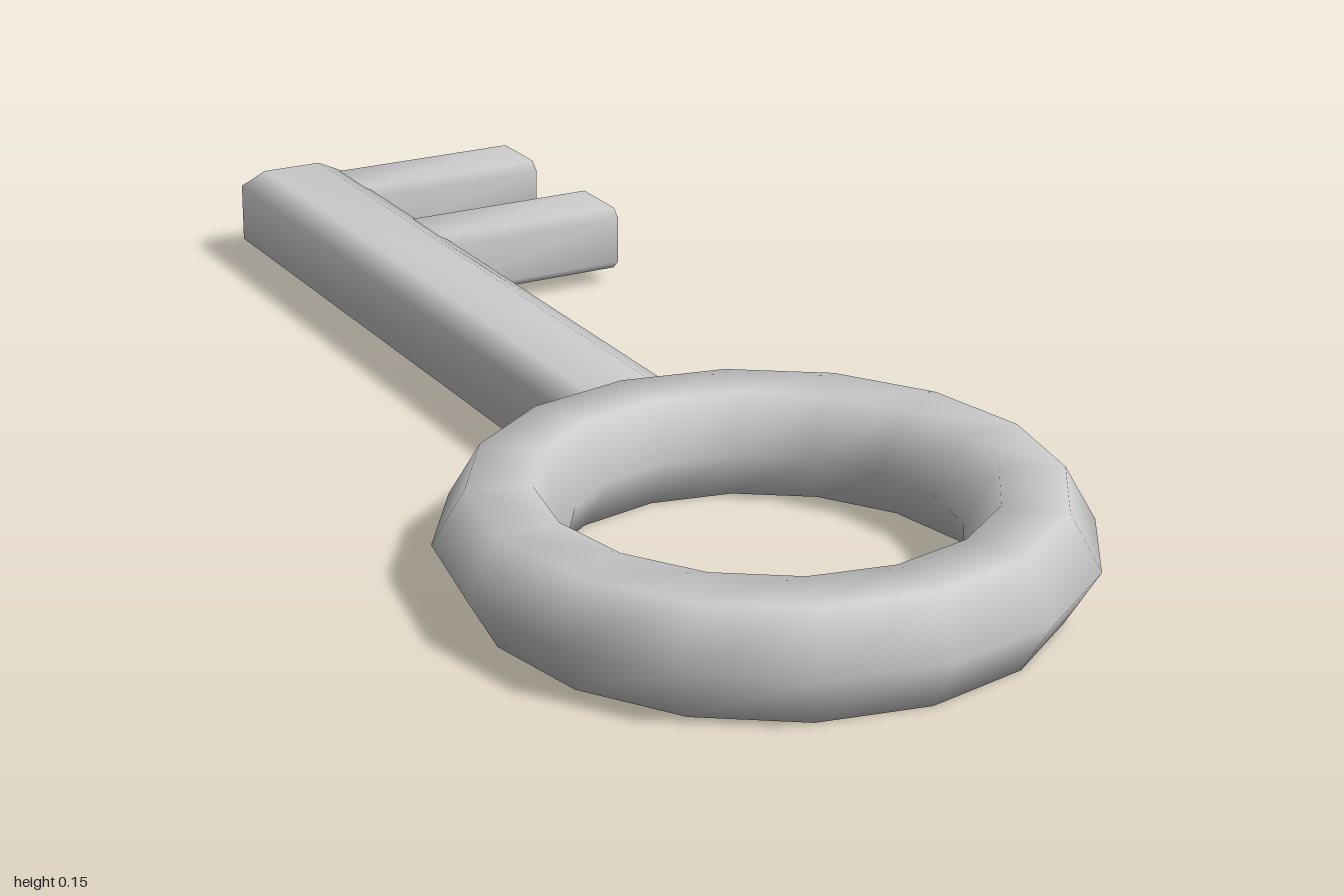
import * as THREE from 'three';
import { mergeVertices } from 'three/addons/utils/BufferGeometryUtils.js';

const MID_Y = 0.078;
const material = new THREE.MeshStandardMaterial({ color: 0xcccccc });

// Bar with a chamfered rectangular section (half sizes w, h; chamfers cx, cy),
// extruded along +z, with normals blended over its edges.
function chamferedBar(w, h, cx, cy, length) {
  const corners = [
    [w, -h + cy], [w, h - cy], [w - cx, h], [-w + cx, h],
    [-w, h - cy], [-w, -h + cy], [-w + cx, -h], [w - cx, -h],
  ];
  const shape = new THREE.Shape(corners.map(([x, y]) => new THREE.Vector2(x, y)));
  const raw = new THREE.ExtrudeGeometry(shape, { depth: length, bevelEnabled: false });
  raw.deleteAttribute('normal');
  raw.deleteAttribute('uv');
  const geometry = mergeVertices(raw, 1e-4);
  geometry.computeVertexNormals();
  return geometry;
}

function addPart(group, name, geometry, x, z) {
  const mesh = new THREE.Mesh(geometry, material);
  mesh.name = name;
  mesh.position.set(x, MID_Y, z);
  group.add(mesh);
  return mesh;
}

export function createModel() {
  const key = new THREE.Group();
  key.name = 'key';

  // Ring handle: six-sided tube, sixteen segments
  const ring = new THREE.TorusGeometry(0.352, 0.089, 6, 16);
  ring.rotateX(Math.PI / 2);
  addPart(key, 'ringHandle', ring, 0, 0.557);

  // Shaft, running from the tip into the ring's tube
  addPart(key, 'shaft', chamferedBar(0.092, 0.067, 0.042, 0.02, 1.2), 0, -1);

  // Two teeth on the left side near the tip
  [['tipTooth', -0.932], ['innerTooth', -0.64]].forEach(([name, z]) => {
    const tooth = chamferedBar(0.066, 0.052, 0.014, 0.014, 0.35);
    tooth.rotateY(Math.PI / 2);
    addPart(key, name, tooth, 0.05, z);
  });

  return key;
}
